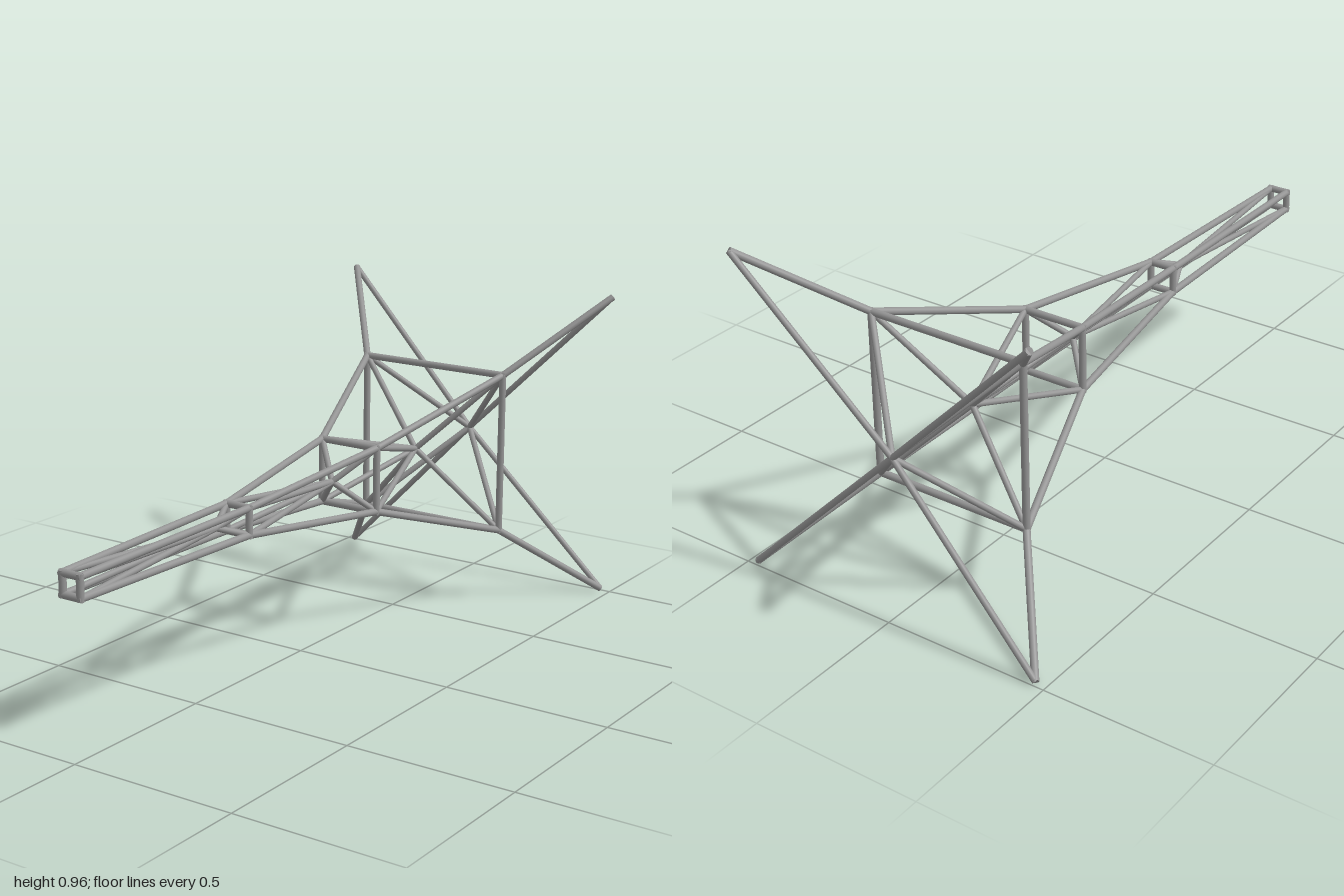
import * as THREE from 'three';

export function createModel() {
  const model = new THREE.Group();
  const steel = new THREE.MeshStandardMaterial({ color: 0x949494 });
  steel.name = 'greySteel';
  const midY = 0.479;
  const radius = 0.0105;
  const up = new THREE.Vector3(0, 1, 0);
  const corners = [[1, 1], [-1, 1], [-1, -1], [1, -1]];

  // Round bar between two points, optionally lengthened at both ends
  function bar(name, a, b, r = radius, extend = 0) {
    const dir = b.clone().sub(a);
    const mesh = new THREE.Mesh(
      new THREE.CylinderGeometry(r, r, dir.length() + 2 * extend, 16), steel);
    mesh.position.copy(a).add(b).multiplyScalar(0.5);
    mesh.quaternion.setFromUnitVectors(up, dir.normalize());
    mesh.name = name;
    model.add(mesh);
  }

  // Square stations from the narrow tip to the spread feet: [z, half width]
  const stations = [[0.99, 0.029], [0.3, 0.039], [-0.25, 0.097], [-0.72, 0.247], [-0.992, 0.47]];
  const rings = stations.map(([z, h]) =>
    corners.map(([x, y]) => new THREE.Vector3(x * h, midY + y * h, z)));

  // Square frames at every station except the feet
  rings.slice(0, 4).forEach((ring) => {
    ring.forEach((p, i) => bar('squareFrame', p, ring[(i + 1) % 4], radius, radius * 0.7));
  });

  // Axis nodes, each braced to the station before and after it
  const nodes = [0.4, -0.16, -0.62, -0.95].map((z) => new THREE.Vector3(0, midY, z));

  for (let s = 0; s < 4; s++) {
    for (let i = 0; i < 4; i++) {
      bar('leg', rings[s][i], rings[s + 1][i]);
      bar('frontBrace', rings[s][i], nodes[s], 0.009);
      bar('rearBrace', rings[s + 1][i], nodes[s], 0.009);
    }
  }

  return model;
}
